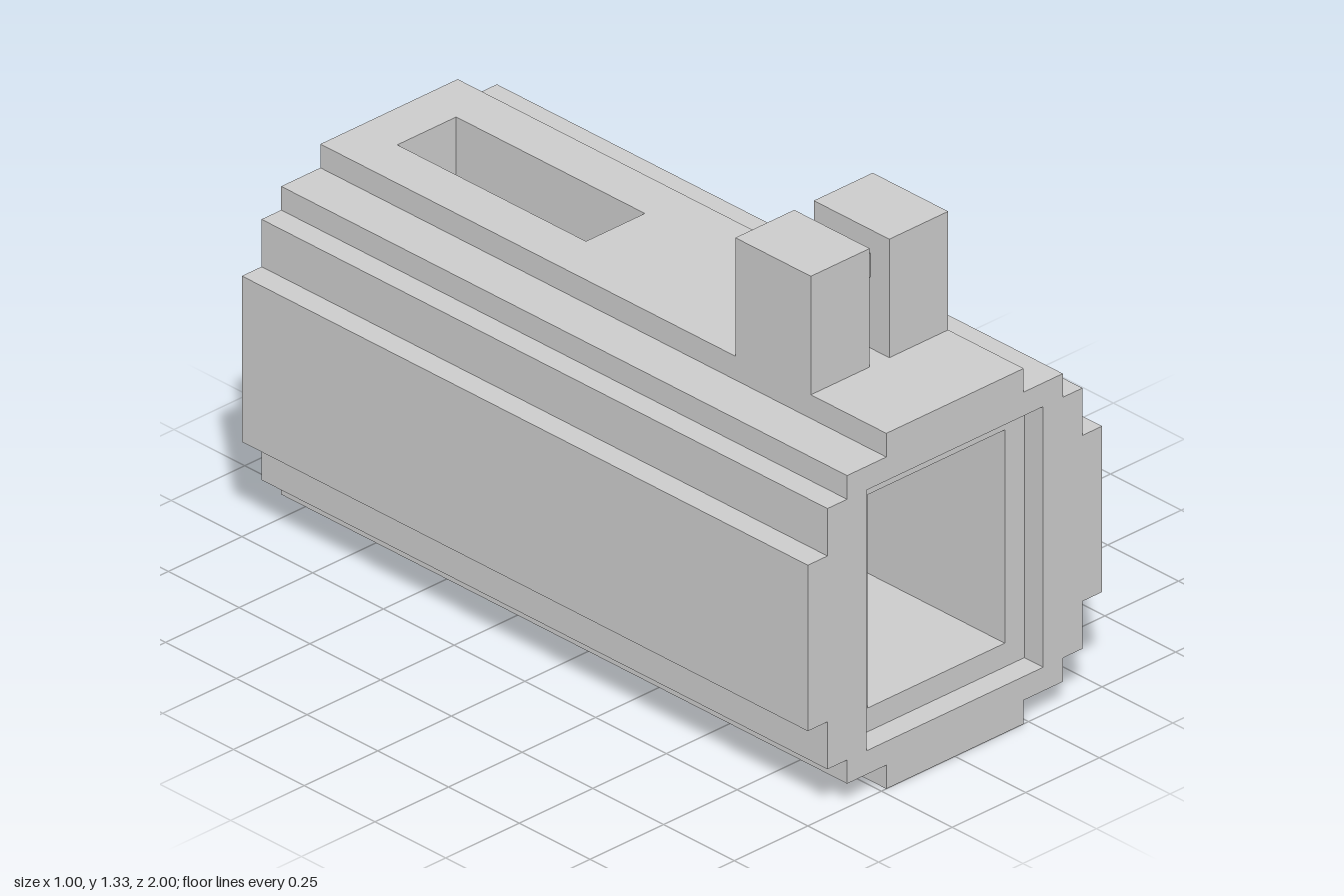
import * as THREE from 'three';

const U = 1 / 15; // one block unit
const material = new THREE.MeshStandardMaterial({ color: 0xcccccc, flatShading: true });

// Right half of the stepped outline, bottom to top
const HALF = [[3.5, 0], [3.5, 1], [5.5, 1], [5.5, 2], [6.5, 2], [6.5, 4], [7.5, 4],
  [7.5, 11], [6.5, 11], [6.5, 13], [5.5, 13], [5.5, 14], [3.5, 14], [3.5, 15]];
const mirrored = HALF.map(([x, y]) => [-x, y]);

const toPoints = (pts) => pts.map(([x, y]) => new THREE.Vector2(x * U, y * U));
const rect = (hw, y0, y1) => [[-hw, y0], [-hw, y1], [hw, y1], [hw, y0]];

export function createModel() {
  const model = new THREE.Group();

  const add = (parent, name, geometry) => {
    const mesh = new THREE.Mesh(geometry, material);
    mesh.name = name;
    parent.add(mesh);
    return mesh;
  };

  // Extrudes one length of the body from z0 to z1
  const body = new THREE.Group();
  body.name = 'body';
  model.add(body);
  const section = (name, z0, z1, outline, hole) => {
    const shape = new THREE.Shape(toPoints(outline));
    if (hole) shape.holes.push(new THREE.Path(toPoints(hole)));
    const geometry = new THREE.ExtrudeGeometry(shape, { depth: (z1 - z0) * U, bevelEnabled: false });
    add(body, name, geometry.translate(0, 0, z0 * U));
  };

  const outline = [...HALF, ...mirrored.slice().reverse()];
  // Outline whose cavity opens upwards through the top slot
  const slotted = [...mirrored.slice().reverse(), ...HALF,
    [1.5, 15], [1.5, 12], [3.5, 12], [3.5, 3], [-3.5, 3], [-3.5, 12], [-1.5, 12], [-1.5, 15]];

  section('frontRim', 14, 15, outline, rect(4.5, 2, 13));
  section('hollowBody', -3, 14, outline, rect(3.5, 3, 12));
  section('slottedBody', -13, -3, slotted);
  section('backWall', -15, -13, outline);

  // Box given by its limits in block units
  const box = (parent, name, [x0, x1], [y0, y1], [z0, z1]) => {
    const mesh = add(parent, name, new THREE.BoxGeometry((x1 - x0) * U, (y1 - y0) * U, (z1 - z0) * U));
    mesh.position.set((x0 + x1) / 2 * U, (y0 + y1) / 2 * U, (z0 + z1) / 2 * U);
  };

  // Twin posts on top, joined by two staggered bars
  const sight = new THREE.Group();
  sight.name = 'topBracket';
  model.add(sight);
  box(sight, 'leftPost', [0.5, 3.5], [15, 20], [7, 11]);
  box(sight, 'rightPost', [-3.5, -0.5], [15, 20], [7, 11]);
  box(sight, 'upperBar', [-0.5, 0.5], [18, 19], [9, 10]);
  box(sight, 'lowerBar', [-0.5, 0.5], [16, 17], [8, 9]);

  return model;
}
